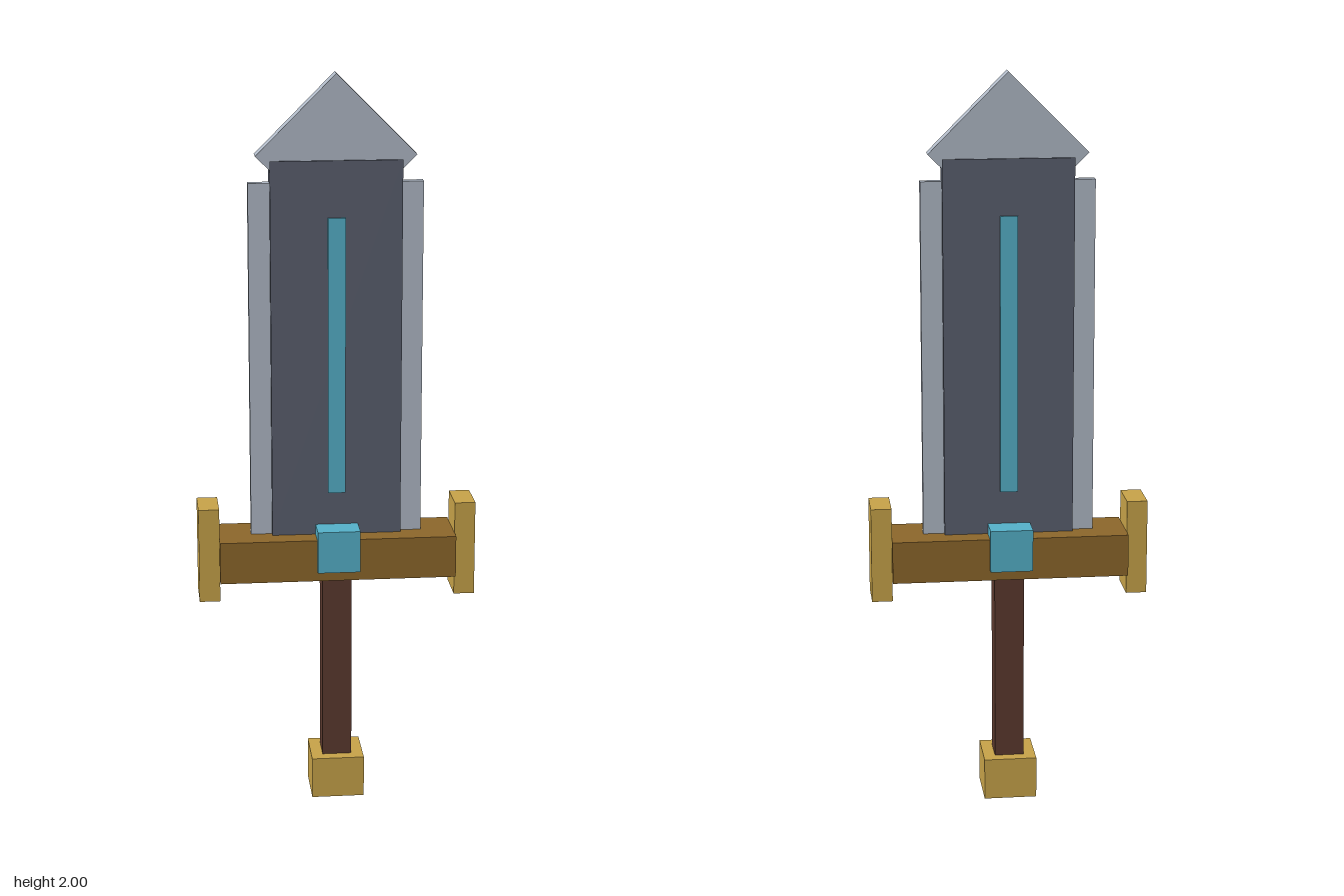
import * as THREE from 'three';

export function createModel() {
  const model = new THREE.Group();
  model.name = 'sword';

  const material = (name, color) => {
    const m = new THREE.MeshStandardMaterial({ color });
    m.name = name;
    return m;
  };
  const steel = material('light steel', 0xb0b9c6);
  const darkSteel = material('dark steel', 0x5a5f6e);
  const cyan = material('cyan crystal', 0x55b1c9);
  const gold = material('gold', 0xc7a349);
  const bronze = material('bronze', 0x8c672b);
  const leather = material('brown leather', 0x5b392e);

  // Box centred on z = 0, from y0 to y1
  const box = (name, mat, x, y0, y1, width, depth) => {
    const mesh = new THREE.Mesh(new THREE.BoxGeometry(width, y1 - y0, depth), mat);
    mesh.name = name;
    mesh.position.set(x, (y0 + y1) / 2, 0);
    model.add(mesh);
    return mesh;
  };

  // Hilt
  box('pommel', gold, 0, 0, 0.115, 0.144, 0.144);
  box('grip', leather, 0, 0.115, 0.642, 0.08, 0.08);
  box('crossguard', bronze, 0, 0.642, 0.757, 0.64, 0.173);
  box('guardGem', cyan, 0, 0.67, 0.785, 0.115, 0.208);

  // Blade core with a glowing inlay showing on both faces
  box('bladeCore', darkSteel, 0, 0.757, 1.775, 0.349, 0.059);
  box('bladeInlay', cyan, 0, 0.875, 1.625, 0.047, 0.075);

  // Mirrored guard ends and cutting edges
  for (const [side, s] of [['left', 1], ['right', -1]]) {
    box(side + 'GuardEnd', gold, s * 0.3475, 0.583, 0.843, 0.056, 0.115);
    box(side + 'CuttingEdge', steel, s * 0.2025, 0.757, 1.716, 0.058, 0.026);
  }

  // Tip: a square block turned on its corner, its lower half set in the core
  const halfDiagonal = 0.212;
  const sideLength = halfDiagonal * Math.SQRT2;
  const tip = box('bladeTip', steel, 0, 1.788 - sideLength / 2, 1.788 + sideLength / 2, sideLength, 0.048);
  tip.rotation.z = Math.PI / 4;

  return model;
}
